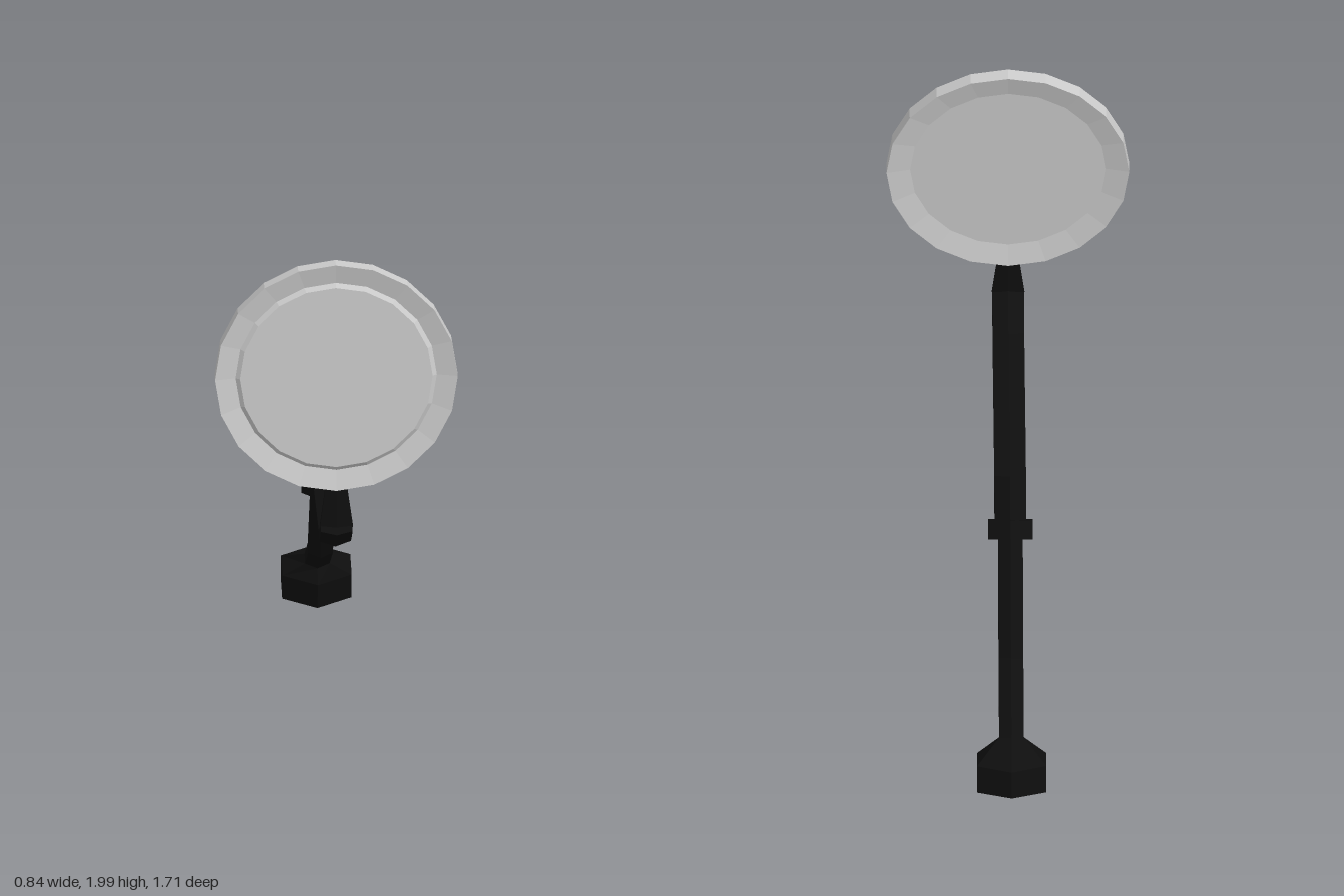
import * as THREE from 'three';

const grey = new THREE.MeshStandardMaterial({ color: 0xcccccc, flatShading: true });
const black = new THREE.MeshStandardMaterial({ color: 0x0e0e0e, flatShading: true });

// Six-sided tube through sections [frontZ, frontY, backZ, backY, halfWidth]
function loft(name, sections) {
  const n = 6, pos = [], idx = [];
  for (const [az, ay, bz, by, w] of sections) {
    for (let j = 0; j < n; j++) {
      const t = (j / n) * Math.PI * 2, c = Math.cos(t) / 2;
      pos.push(w * Math.sin(t) / Math.sin(Math.PI / 3), (ay + by) / 2 + (ay - by) * c, (az + bz) / 2 + (az - bz) * c);
    }
  }
  const last = (sections.length - 1) * n;
  for (let i = 0; i < last; i += n) {
    for (let j = 0; j < n; j++) {
      const a = i + j, b = i + (j + 1) % n;
      idx.push(a, b, b + n, a, b + n, a + n);
    }
  }
  // end caps
  for (let j = 1; j < n - 1; j++) idx.push(0, j + 1, j, last, last + j, last + j + 1);
  const indexed = new THREE.BufferGeometry();
  indexed.setAttribute('position', new THREE.Float32BufferAttribute(pos, 3));
  indexed.setIndex(idx);
  const geometry = indexed.toNonIndexed();
  geometry.computeVertexNormals();
  const mesh = new THREE.Mesh(geometry, black);
  mesh.name = name;
  return mesh;
}

// Twenty-sided turned part facing +z; profile runs from back to front as [radius, z]
function turned(name, profile) {
  const geometry = new THREE.LatheGeometry(profile.map(([r, z]) => new THREE.Vector2(r, z)), 20);
  geometry.rotateX(Math.PI / 2);
  const mesh = new THREE.Mesh(geometry, grey);
  mesh.name = name;
  return mesh;
}

export function createModel() {
  const model = new THREE.Group();
  model.name = 'mirrorOnArm';

  // tilted mounting foot, narrowing into the stem
  model.add(loft('mountingFoot', [
    [-0.64, 0.005, -0.857, 0.058, 0.12],
    [-0.614, 0.105, -0.838, 0.155, 0.12],
    [-0.635, 0.16, -0.70, 0.206, 0.043],
  ]));

  // thin lower stem with a bend
  model.add(loft('lowerStem', [
    [-0.635, 0.16, -0.70, 0.206, 0.043],
    [-0.388, 0.318, -0.455, 0.367, 0.043],
    [-0.16, 0.69, -0.225, 0.735, 0.043],
  ]));

  // collar where the two stems join
  model.add(loft('collar', [
    [-0.143, 0.653, -0.26, 0.735, 0.077],
    [-0.106, 0.714, -0.222, 0.788, 0.077],
  ]));

  // thicker upper arm reaching forward and turning up at its tip
  model.add(loft('upperArm', [
    [-0.137, 0.705, -0.212, 0.765, 0.055],
    [-0.035, 0.857, -0.125, 0.907, 0.055],
    [0.738, 0.90, 0.66, 0.947, 0.055],
    [0.857, 1.0, 0.80, 1.03, 0.055],
  ]));

  // thin tapered bracket under the mirror
  model.add(loft('mirrorBracket', [
    [0.828, 1.01, 0.80, 1.025, 0.057],
    [0.815, 1.175, 0.795, 1.175, 0.036],
  ]));

  // round mirror, leaning back slightly
  const mirror = new THREE.Group();
  mirror.name = 'mirror';
  mirror.add(turned('mirrorFrame', [
    [0, -0.008], [0.34, -0.008], [0.422, -0.026], [0.422, 0.026], [0.35, 0.008],
  ]));
  mirror.add(turned('mirrorGlass', [[0.35, 0.008], [0.335, 0.02], [0, 0.02]]));
  mirror.position.set(0, 1.577, 0.777);
  mirror.rotation.x = -0.063;
  model.add(mirror);

  return model;
}
